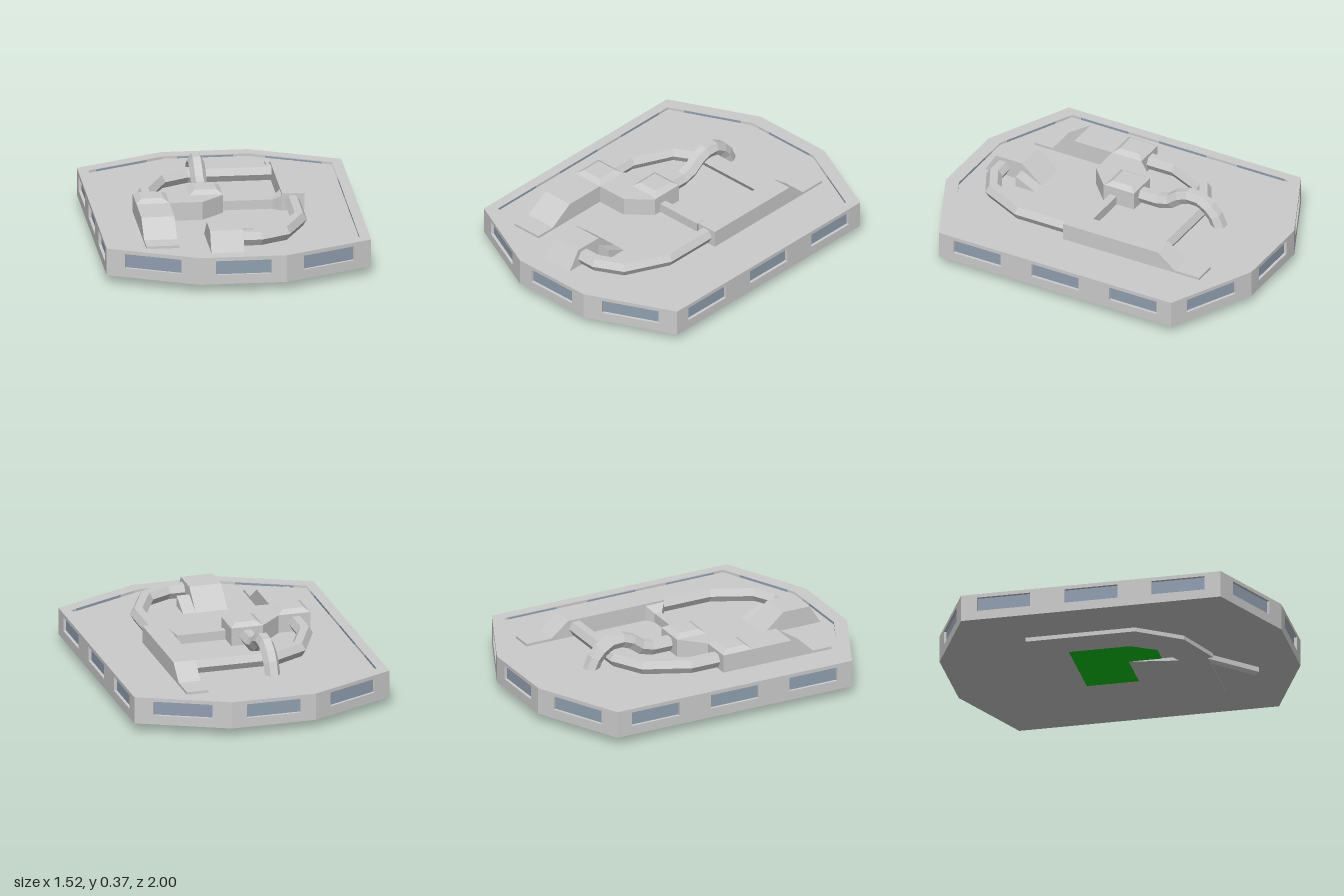
import * as THREE from 'three';
import { ConvexGeometry } from 'three/addons/geometries/ConvexGeometry.js';

const mat = (color) => new THREE.MeshStandardMaterial({ color, flatShading: true });
const grey = mat(0xcccccc), glass = mat(0x909fb0), green = mat(0x0ac814);

const FLOOR = 0.195;

export function createModel() {
  const model = new THREE.Group();
  const add = (name, geometry, material = grey, parent = model) => {
    const mesh = new THREE.Mesh(geometry, material);
    mesh.name = name;
    parent.add(mesh);
    return mesh;
  };

  // Plan outline [x, z] raised from y0 to y1, with an optional hole
  const planShape = (pts) => new THREE.Shape(pts.map(([x, z]) => new THREE.Vector2(x, -z)));
  const plan = (pts, y0, y1, hole) => {
    const shape = planShape(pts);
    if (hole) shape.holes.push(planShape(hole));
    return new THREE.ExtrudeGeometry(shape, { depth: y1 - y0, bevelEnabled: false })
      .rotateX(-Math.PI / 2).translate(0, y0, 0);
  };

  // Side profile [z, y] spanning x0 to x1
  const side = (pts, x0, x1) =>
    new THREE.ExtrudeGeometry(new THREE.Shape(pts.map(([z, y]) => new THREE.Vector2(z, y))),
      { depth: x1 - x0, bevelEnabled: false }).rotateY(-Math.PI / 2).translate(x1, 0, 0);

  const hull = (pts) => new ConvexGeometry(pts.map((p) => new THREE.Vector3(...p)));

  // Chamfered lid on a rectangle
  const lid = (x0, x1, z0, z1, y0, y1, c) => hull([0, 1].flatMap((k) => {
    const d = k * c, y = k ? y1 : y0;
    return [[x0 + d, y, z0 + d], [x1 - d, y, z0 + d], [x1 - d, y, z1 - d], [x0 + d, y, z1 - d]];
  }));

  // Six-sided pipe with mitred joints; the path lies in the plane across B
  const pipe = (path, B, turn) => {
    const pts = path.map((p) => new THREE.Vector3(...p));
    const pos = [], idx = [], last = pts.length - 1;
    pts.forEach((p, i) => {
      const tIn = pts[Math.max(i, 1)].clone().sub(pts[Math.max(i, 1) - 1]).normalize();
      const j = Math.min(i, last - 1);
      const tOut = pts[j + 1].clone().sub(pts[j]).normalize();
      const T = tIn.clone().add(tOut).normalize();
      const N = B.clone().cross(T).divideScalar(T.dot(tIn));
      for (let k = 0; k < 6; k++) {
        const a = k * Math.PI / 3 + turn;
        const v = p.clone().addScaledVector(N, 0.046 * Math.cos(a)).addScaledVector(B, 0.046 * Math.sin(a));
        pos.push(v.x, v.y, v.z);
        if (i < last) {
          const q = i * 6 + k, r = i * 6 + (k + 1) % 6;
          idx.push(q, r, r + 6, q, r + 6, q + 6);
        }
      }
    });
    const g = new THREE.BufferGeometry();
    g.setAttribute('position', new THREE.Float32BufferAttribute(pos, 3));
    g.setIndex(idx);
    g.computeVertexNormals();
    return g;
  };

  // Eight-sided hull: base plate, raised rim and sunken deck
  const octagon = (ax, az, bx, bz) =>
    [[ax, az], [bx, bz], [-bx, bz], [-ax, az], [-ax, -az], [-bx, -bz], [bx, -bz], [ax, -az]];
  const outer = octagon(0.76, 0.76, 0.25, 1);
  const inner = octagon(0.70, 0.705, 0.24, 0.92);
  add('basePlate', plan(outer, 0.05, 0.08));
  add('rim', plan(outer, FLOOR, 0.21, inner));
  add('deck', plan(inner, FLOOR - 0.01, FLOOR));

  // Walls with recessed windows
  outer.forEach(([x0, z0], i) => {
    const [x1, z1] = outer[(i + 1) % 8];
    const length = Math.hypot(x1 - x0, z1 - z0), half = length / 2;
    const wall = new THREE.Group();
    wall.name = 'wall';
    wall.position.set((x0 + x1) / 2, 0, (z0 + z1) / 2);
    wall.rotation.y = Math.atan2(z0 - z1, x1 - x0) + Math.PI;
    model.add(wall);
    const rect = (C, l, r, b, t) => new C([[l, b], [r, b], [r, t], [l, t]].map((p) => new THREE.Vector2(...p)));
    const panel = rect(THREE.Shape, -half, half, 0.08, FLOOR);
    const w = length > 1 ? 0.155 : length > 0.52 ? 0.17 : 0.16;
    for (const c of length > 1 ? [-0.51, 0, 0.51] : [0]) {
      panel.holes.push(rect(THREE.Path, c - w, c + w, 0.105, 0.188));
      add('window', new THREE.BoxGeometry(2 * w, 0.083, 0.01), glass, wall).position.set(c, 0.1465, -0.022);
    }
    add('wallPanel', new THREE.ExtrudeGeometry(panel, { depth: 0.025, bevelEnabled: false })
      .translate(0, 0, -0.025), grey, wall);
  });

  // Long side block with a sloped rear and flat lip
  add('longBlock', side([[0.12, FLOOR], [0.12, 0.297], [-0.50, 0.297], [-0.61, 0.21],
    [-0.77, 0.21], [-0.77, FLOOR]], 0.32, 0.45));

  // Ramped block, its neighbour and the platform joining them
  add('rampBlock', side([[0.05, FLOOR], [0.05, 0.302], [0.49, 0.302], [0.63, 0.21],
    [0.75, 0.21], [0.75, FLOOR]].reverse(), -0.53, -0.34));
  add('platform', plan([[-0.21, -0.08], [-0.02, -0.08], [-0.02, 0.12], [-0.15, 0.24],
    [-0.34, 0.24], [-0.34, 0.05]], FLOOR, 0.302));
  add('rampBlockLid', lid(-0.53, -0.34, 0.05, 0.24, 0.302, 0.324, 0.032));
  add('platformLid', lid(-0.21, -0.02, -0.08, 0.11, 0.302, 0.324, 0.032));

  // Front housing with a small wedge beside it
  add('frontHousing', side([[0.50, FLOOR], [0.63, 0.307], [0.80, 0.307], [0.87, FLOOR]], -0.17, 0.02));
  add('housingWedge', side([[0.50, FLOOR], [0.63, 0.26], [0.63, FLOOR]], 0.02, 0.095));

  // Pipes lying on the deck and the arched pipe
  const Y = 0.245, up = new THREE.Vector3(0, 1, 0), across = new THREE.Vector3(1, 0, 0);
  add('frontPipe', pipe([[-0.02, Y, 0.755], [0.12, Y, 0.755], [0.265, Y, 0.68],
    [0.38, Y, 0.44], [0.38, Y, 0.08]], up, 0));
  add('rearPipe', pipe([[0.36, Y, -0.45], [-0.17, Y, -0.45], [-0.335, Y, -0.36],
    [-0.445, Y, -0.12], [-0.445, Y, 0.08]], up, 0));
  add('archPipe', pipe([[-0.05, Y], [-0.20, Y], [-0.27, 0.265], [-0.33, 0.31], [-0.39, 0.333],
    [-0.46, 0.33], [-0.52, 0.295], [-0.56, 0.25], [-0.59, 0.18]]
    .map(([z, y]) => [-0.115, y, z]), across, Math.PI / 2));

  // Narrow link with a flared end
  add('link', new THREE.BoxGeometry(0.30, 0.055, 0.045).translate(0.13, FLOOR + 0.0275, 0.055));
  add('linkFlare', hull([[0.27, 0.25, 0.033], [0.27, 0.25, 0.078], [0.27, FLOOR, 0.033], [0.27, FLOOR, 0.078],
    [0.32, 0.285, 0], [0.32, 0.285, 0.12], [0.32, FLOOR, 0], [0.32, FLOOR, 0.12]]));

  // Underside: coloured square, curved duct, ramp and pointed scoop
  add('undersideSquare', new THREE.BoxGeometry(0.5, 0.004, 0.5).translate(0, 0.05, 0), green);
  add('undersideDuct', plan([[-0.46, -0.45], [-0.27, -0.45], [-0.27, 0.12], [-0.18, 0.27], [-0.02, 0.35],
    [-0.02, 0.55], [-0.29, 0.44], [-0.46, 0.19]], 0.025, 0.05));
  add('undersideRamp', side([[0.03, 0.05], [0.35, 0.025], [0.53, 0.025], [0.53, 0.05]], -0.02, 0.42));
  const scoop = [[-0.02, 0.52], [0.42, 0.52], [0.22, 0.765]];
  add('undersideScoop', hull(scoop.flatMap(([x, z]) => [
    [x, 0.05, z], [x, 0.02, z], [0.2 + (x - 0.2) * 0.85, 0, 0.62 + (z - 0.62) * 0.85]])));

  return model;
}
